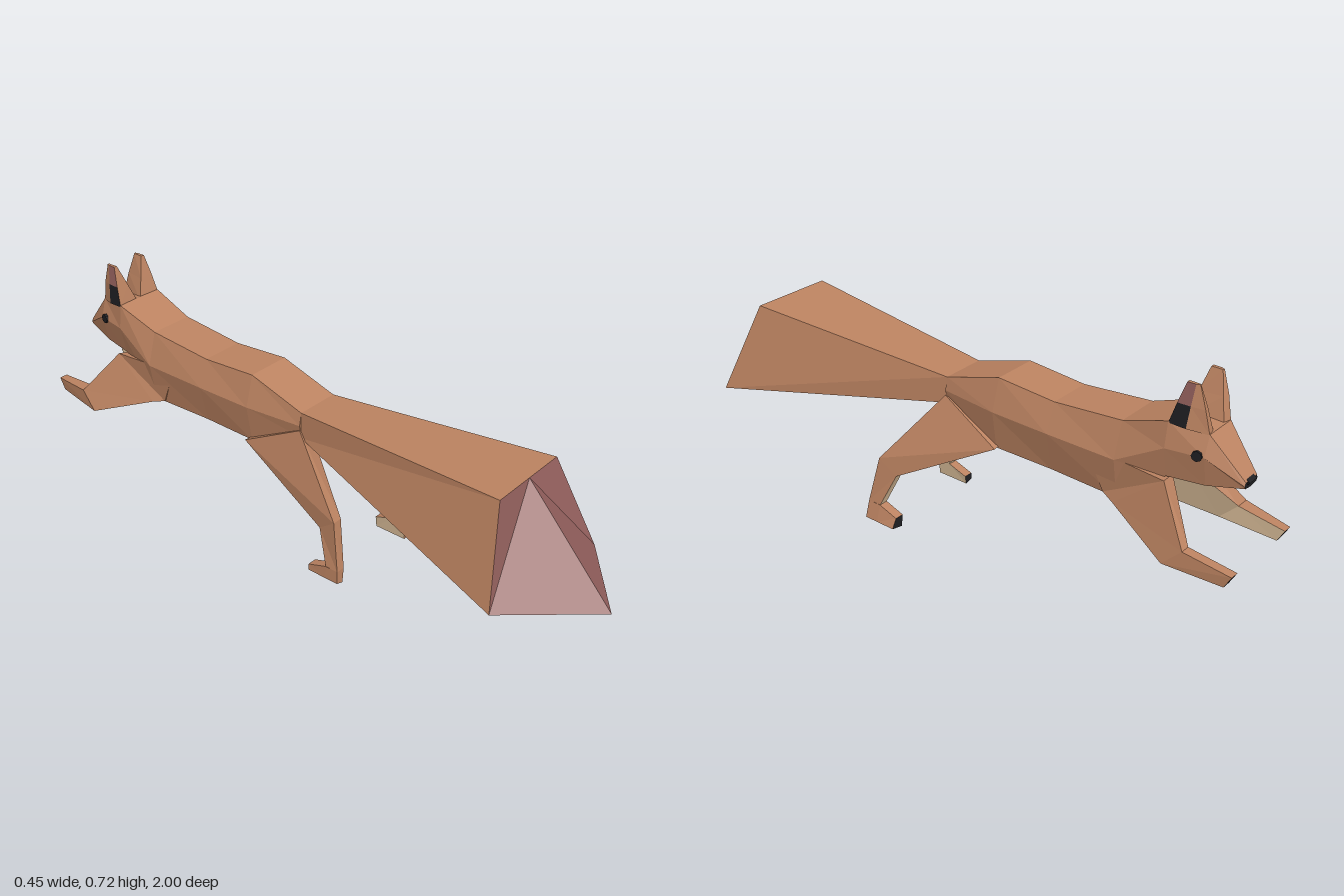
import * as THREE from 'three';

const material = (name, color) => {
  const m = new THREE.MeshStandardMaterial({ color, flatShading: true });
  m.name = name;
  return m;
};

// Joins rings of points into a closed faceted solid; paint(segment, strip) picks
// each face's material, with segment -1 for the first cap and 'end' for the last.
function loft(name, rings, paint) {
  const n = rings[0].length;
  const tris = [];
  const add = (mat, a, b, c) => tris.push({ mat, p: [a, b, c] });
  for (let i = 0; i < rings.length - 1; i++) {
    for (let j = 0; j < n; j++) {
      const k = (j + 1) % n;
      const [a, b, c, d] = [rings[i][j], rings[i][k], rings[i + 1][k], rings[i + 1][j]];
      add(paint(i, j), a, b, c);
      add(paint(i, j), a, c, d);
    }
  }
  const first = rings[0], last = rings[rings.length - 1];
  for (let k = 1; k < n - 1; k++) {
    add(paint(-1, k), first[0], first[k + 1], first[k]);
    add(paint('end', k), last[0], last[k], last[k + 1]);
  }
  // Turn the faces outward when the enclosed volume is negative
  let volume = 0;
  const [A, B, C] = [0, 0, 0].map(() => new THREE.Vector3());
  for (const { p } of tris) volume += A.set(...p[0]).dot(B.set(...p[1]).cross(C.set(...p[2])));
  const group = new THREE.Group();
  group.name = name;
  for (const mat of new Set(tris.map((t) => t.mat))) {
    const points = tris.filter((t) => t.mat === mat)
      .flatMap(({ p }) => (volume < 0 ? [p[0], p[2], p[1]] : p)).flat();
    const geometry = new THREE.BufferGeometry();
    geometry.setAttribute('position', new THREE.Float32BufferAttribute(points, 3));
    geometry.computeVertexNormals();
    const mesh = new THREE.Mesh(geometry, mat);
    mesh.name = `${name} ${mat.name}`;
    group.add(mesh);
  }
  return group;
}

const mirror = (s, rings) => rings.map((r) => r.map(([x, y, z]) => [s * x, y, z]));

export function createModel() {
  const fur = material('brown fur', 0xbc8361);
  const cream = material('cream fur', 0xdabd99);
  const red = material('dusky red', 0x925f5c);
  const black = material('black', 0x1e1e22);
  const model = new THREE.Group();
  model.name = 'fox';

  // Body and head: z, top, side, lower edge (y and half width each), underside y
  const sections = [
    [0.0, 0.49, 0.072, 0.45, 0.08, 0.405, 0.07, 0.385],
    [-0.19, 0.548, 0.072, 0.45, 0.1, 0.33, 0.08, 0.31],
    [-0.38, 0.535, 0.07, 0.45, 0.103, 0.328, 0.075, 0.285],
    [-0.6, 0.555, 0.072, 0.45, 0.103, 0.325, 0.08, 0.315],
    [-0.74, 0.605, 0.08, 0.53, 0.09, 0.44, 0.07, 0.42],
    [-0.845, 0.59, 0.052, 0.53, 0.07, 0.442, 0.05, 0.427],
    [-0.945, 0.478, 0.028, 0.468, 0.032, 0.46, 0.028, 0.456],
  ];
  const bodyRings = sections.map(([z, ty, tw, my, mw, ly, lw, by]) => [
    [tw, ty, z], [mw, my, z], [lw, ly, z], [0, by, z],
    [-lw, ly, z], [-mw, my, z], [-tw, ty, z],
  ]);
  model.add(loft('body', bodyRings, (i, j) =>
    (i === 'end' ? black : i >= 0 && (j === 2 || j === 3) ? cream : fur)));

  // Nose
  const nose = new THREE.Mesh(new THREE.BoxGeometry(0.036, 0.014, 0.022), black);
  nose.name = 'nose';
  nose.position.set(0, 0.476, -0.938);
  nose.rotation.x = -0.7;
  model.add(nose);

  // Flared tail with a pointed, two-plane end
  model.add(loft('tail', [
    [[0, 0.49, 0], [0.072, 0.49, 0], [0.075, 0.408, 0], [0, 0.385, 0],
      [-0.075, 0.408, 0], [-0.072, 0.49, 0]],
    [[0, 0.535, 0.72], [0.135, 0.535, 0.72], [0.22, 0.247, 0.82], [0, 0.23, 1],
      [-0.228, 0.247, 0.77], [-0.138, 0.535, 0.72]],
  ], (i) => (i === 'end' ? red : fur)));

  for (const s of [1, -1]) {
    const side = s > 0 ? 'left' : 'right';

    // Ear, open on its outer side
    const earRings = mirror(s, [
      [[0.08, 0.6, -0.74], [0.004, 0.59, -0.742], [0.025, 0.585, -0.84],
        [0.052, 0.588, -0.845], [0.078, 0.598, -0.79]],
      [[0.073, 0.66, -0.757], [0.028, 0.655, -0.758], [0.038, 0.655, -0.825],
        [0.057, 0.655, -0.83], [0.071, 0.66, -0.795]],
      [[0.063, 0.72, -0.775], [0.052, 0.72, -0.775], [0.053, 0.72, -0.808],
        [0.058, 0.72, -0.81], [0.062, 0.72, -0.8]],
    ]);
    model.add(loft(`${side} ear`, earRings, (i, j) =>
      (j === 4 && i >= 0 ? (i === 0 ? black : red) : fur)));

    // Eye
    const eye = new THREE.Mesh(new THREE.CylinderGeometry(0.015, 0.015, 0.009, 8), black);
    eye.name = `${side} eye`;
    eye.position.set(s * 0.0735, 0.532, -0.826);
    eye.rotation.set(0, s * 0.19, Math.PI / 2);
    model.add(eye);

    // Front leg: outer top, inner top, inner bottom, outer bottom
    const d = s > 0 ? 0 : 0.012;
    const frontRings = mirror(s, [
      [[0.098, 0.46, -0.5], [0.03, 0.45, -0.52], [0.02, 0.34, -0.56], [0.085, 0.33, -0.56]],
      [[0.095, 0.44, -0.75], [0.035, 0.43, -0.74], [0.02, 0.32, -0.6], [0.1, 0.32, -0.6]],
      [[0.158 + d, 0.3, -0.855], [0.128, 0.3, -0.855], [0.128, 0.245, -0.8],
        [0.165 + d, 0.245, -0.8]],
      [[0.158 - d, 0.285, -1], [0.13 - d, 0.285, -1], [0.13 - d, 0.248, -0.98],
        [0.158 - d, 0.248, -0.98]],
    ]);
    model.add(loft(`${side} front leg`, frontRings, (i, j) =>
      (i === 'end' ? black : j === 1 && i >= 0 ? cream : fur)));

    // Hind leg, one splayed wider: outer back, inner back, inner front, outer front
    const k = s > 0 ? 0.06 : 0;
    const lift = s > 0 ? 0 : 0.01;
    const hindRings = mirror(s, [
      [[0.08, 0.435, 0], [0.015, 0.4, -0.01], [0.015, 0.34, -0.19], [0.1, 0.335, -0.2]],
      [[0.128 + k, 0.21, 0.17], [0.09 + k, 0.205, 0.165], [0.085 + k, 0.165, 0.115],
        [0.12 + k, 0.165, 0.11]],
      [[0.147 + k, 0.06, 0.2], [0.117 + k, 0.06, 0.2], [0.117 + k, 0.06, 0.155],
        [0.146 + k, 0.06, 0.155]],
    ]);
    model.add(loft(`${side} hind leg`, hindRings, (i, j) =>
      (i >= 0 && (j === 1 || j === 2) ? cream : fur)));

    // Hind foot: heel, instep and dark toe
    const footRings = mirror(s, [[0.2, 0.06], [0.155, 0.06], [0.09, 0.038]].map(([z, top]) => [
      [0.147 + k, top, z], [0.117 + k, top, z],
      [0.122 + k, lift, z], [0.148 + k * 1.25, lift + 0.008, z],
    ]));
    model.add(loft(`${side} hind foot`, footRings, (i, j) =>
      (i === 'end' ? black : j === 1 && i >= 0 ? cream : fur)));
  }
  return model;
}
